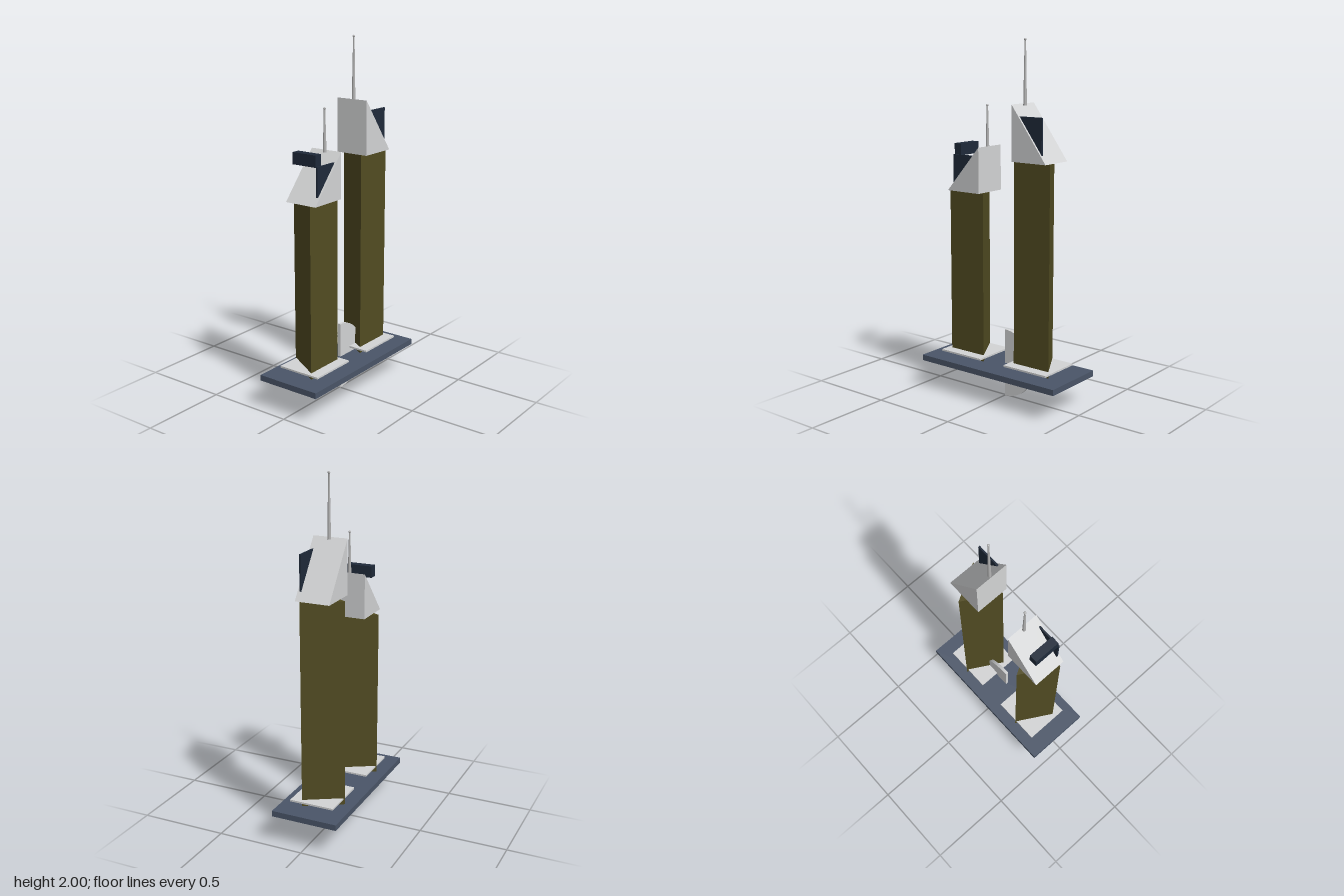
import * as THREE from 'three';

function material(name, color) {
  const m = new THREE.MeshStandardMaterial({ color });
  m.name = name;
  return m;
}

export function createModel() {
  const model = new THREE.Group();
  model.name = 'twinTowers';

  const olive = material('olive', 0x524c22);
  const slate = material('slate', 0x4a5568);
  const navy = material('darkNavy', 0x1f2a3a);
  const pale = material('paleGrey', 0xd3d4d5);
  const steel = material('steelGrey', 0xb4b4b4);

  function add(parent, name, geometry, mat, x = 0, y = 0, z = 0) {
    const mesh = new THREE.Mesh(geometry, mat);
    mesh.name = name;
    mesh.position.set(x, y, z);
    parent.add(mesh);
    return mesh;
  }

  // Box given by its lower and upper corners
  function addBox(parent, name, mat, [x0, y0, z0], [x1, y1, z1]) {
    return add(parent, name, new THREE.BoxGeometry(x1 - x0, y1 - y0, z1 - z0), mat,
      (x0 + x1) / 2, (y0 + y1) / 2, (z0 + z1) / 2);
  }

  // Outline in x and y, extruded evenly about z = 0
  function slab(shape, depth) {
    return new THREE.ExtrudeGeometry(shape, { depth, bevelEnabled: false, curveSegments: 32 })
      .translate(0, 0, -depth / 2);
  }

  // Base slab
  addBox(model, 'base', slate, [-0.463, 0.16, -0.192], [0.463, 0.193, 0.192]);

  // Upright half disc passing through the base
  const half = new THREE.Shape();
  half.absarc(0, 0, 0.195, -Math.PI / 2, Math.PI / 2, false);
  half.closePath();
  add(model, 'halfDisc', slab(half, 0.018), pale, 0, 0.195, 0);

  // One tower; side is -1 or +1, the roof peaks toward the middle
  function addTower(name, side, top, peak, mastTop, panelTop) {
    const tower = new THREE.Group();
    tower.name = name;
    model.add(tower);
    const cx = side * 0.226;

    // Thin plaza around the foot
    addBox(tower, 'plaza', pale, [cx - 0.142, 0.22, -0.129], [cx + 0.142, 0.23, 0.129]);

    // Triangular shaft with its flat face to the front
    const shaft = new THREE.CylinderGeometry(0.136, 0.136, top - 0.193, 3).toNonIndexed();
    shaft.computeVertexNormals();
    shaft.rotateY(Math.PI);
    add(tower, 'shaft', shaft, olive, cx, (top + 0.193) / 2, 0);

    // Wedge roof
    const outer = side * 0.336, inner = side * 0.114;
    const wedge = new THREE.Shape([
      new THREE.Vector2(outer, top),
      new THREE.Vector2(inner, top),
      new THREE.Vector2(inner, peak),
    ]);
    add(tower, 'wedgeRoof', slab(wedge, 0.196), pale);

    // Dark upright panel standing out of the slope
    const a = side * 0.158, b = side * 0.303;
    addBox(tower, 'roofPanel', navy,
      [Math.min(a, b), top + 0.043, 0.077], [Math.max(a, b), panelTop, 0.087]);

    // Tapered mast with a ball tip
    const h = mastTop - 0.007 - peak + 0.01;
    add(tower, 'mast', new THREE.CylinderGeometry(0.004, 0.01, h, 12), steel,
      side * 0.129, peak - 0.01 + h / 2, 0);
    add(tower, 'mastTip', new THREE.SphereGeometry(0.007, 12, 8), steel,
      side * 0.129, mastTop - 0.007, 0);
    return tower;
  }

  const shortTower = addTower('shortTower', -1, 1.16, 1.415, 1.645, 1.365);
  addTower('tallTower', 1, 1.356, 1.658, 2.0, 1.597);

  // Dark block above the short tower's slope
  addBox(shortTower, 'roofBlock', navy, [-0.303, 1.36, -0.077], [-0.256, 1.425, 0.075]);

  return model;
}
